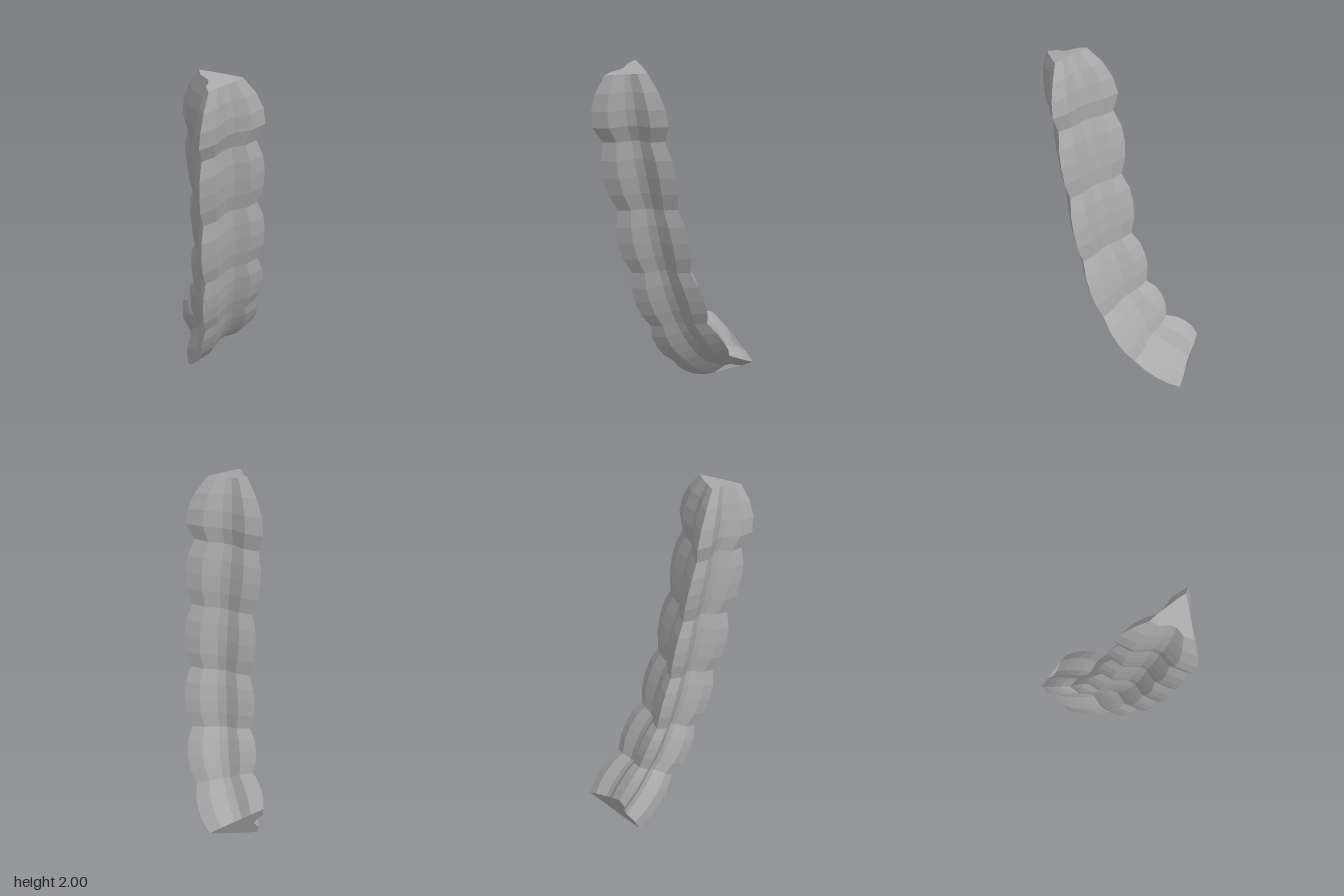
import * as THREE from 'three';

// Three ridge lines, given at the narrow waists between segments, bottom to top
const ridges = [
  [[-.04, .32, -.437], [-.045, .437, -.257], [-.075, .65, -.135], [-.10, .95, -.045], [-.135, 1.3, .013], [-.18, 1.65, .06], [-.17, 2, .195]],
  [[.245, .155, -.355], [.233, .31, -.10], [.196, .58, .08], [.159, .915, .19], [.122, 1.28, .255], [.085, 1.645, .31], [0, 1.98, .33]],
  [[-.063, 0, -.294], [-.09, .22, -.01], [-.127, .505, .156], [-.17, .86, .262], [-.206, 1.23, .325], [-.238, 1.61, .389], [-.206, 1.957, .403]],
].map(line => line.map(p => new THREE.Vector3(...p)));

const swell = [.15, .19, .2, .2, .2, .41];    // bulge of each segment
const bulge = [0, .8, 1, .8];                 // bulge across one segment
const steps = [0, .24, .4, .56, .76];         // points along one side
const dents = [[0, -.05, .2, .2, -.05], [0, -.05, .2, .2, -.05], [0, -.03, .33, .33, -.05]];

// Three-lobed ring with a groove in each side
function ring(seg, t, scale) {
  const corners = ridges.map(l => l[seg].clone().lerp(l[Math.min(seg + 1, 6)], t));
  const centre = new THREE.Vector3();
  corners.forEach(c => centre.addScaledVector(c, 1 / 3));
  corners.forEach(c => c.sub(centre).multiplyScalar(scale).add(centre));
  const points = [];
  for (let s = 0; s < 3; s++) {
    steps.forEach((u, i) => points.push(
      corners[s].clone().lerp(corners[(s + 1) % 3], u).lerp(centre, dents[s][i])));
  }
  return points;
}

function geometryFrom(triangles) {
  const g = new THREE.BufferGeometry().setFromPoints(triangles);
  g.computeVertexNormals();
  return g;
}

export function createModel() {
  const group = new THREE.Group();
  group.name = 'segmentedStalk';
  const grey = new THREE.MeshStandardMaterial({ color: 0xaaaaaa, flatShading: true, side: THREE.DoubleSide });
  grey.name = 'stone grey';

  const rings = [];
  for (let seg = 0; seg < 6; seg++) {
    bulge.forEach((b, i) => rings.push(ring(seg, i / 4, 1 + swell[seg] * b)));
  }
  rings.push(ring(6, 0, 1));

  // Ribbed, bulging skin
  const skin = [];
  for (let r = 0; r < rings.length - 1; r++) {
    for (let j = 0; j < 15; j++) {
      const k = (j + 1) % 15;
      const a = rings[r][j], b = rings[r][k], c = rings[r + 1][j], d = rings[r + 1][k];
      skin.push(b, a, c, b, c, d);
    }
  }
  const body = new THREE.Mesh(geometryFrom(skin), grey);
  body.name = 'stalk';
  group.add(body);

  // Flat end caps, bridging two of the grooves
  const rim = [5, 6, 9, 10, 11, 12, 13, 14, 0, 1, 4];
  const addCap = (name, points, up) => {
    const tris = [];
    for (let i = 1; i < rim.length - 1; i++) {
      const p = points[rim[i]], q = points[rim[i + 1]];
      tris.push(points[rim[0]], ...(up ? [q, p] : [p, q]));
    }
    const cap = new THREE.Mesh(geometryFrom(tris), grey);
    cap.name = name;
    group.add(cap);
  };
  addCap('bottomCap', rings[0], false);
  addCap('topCap', rings[rings.length - 1], true);
  return group;
}
